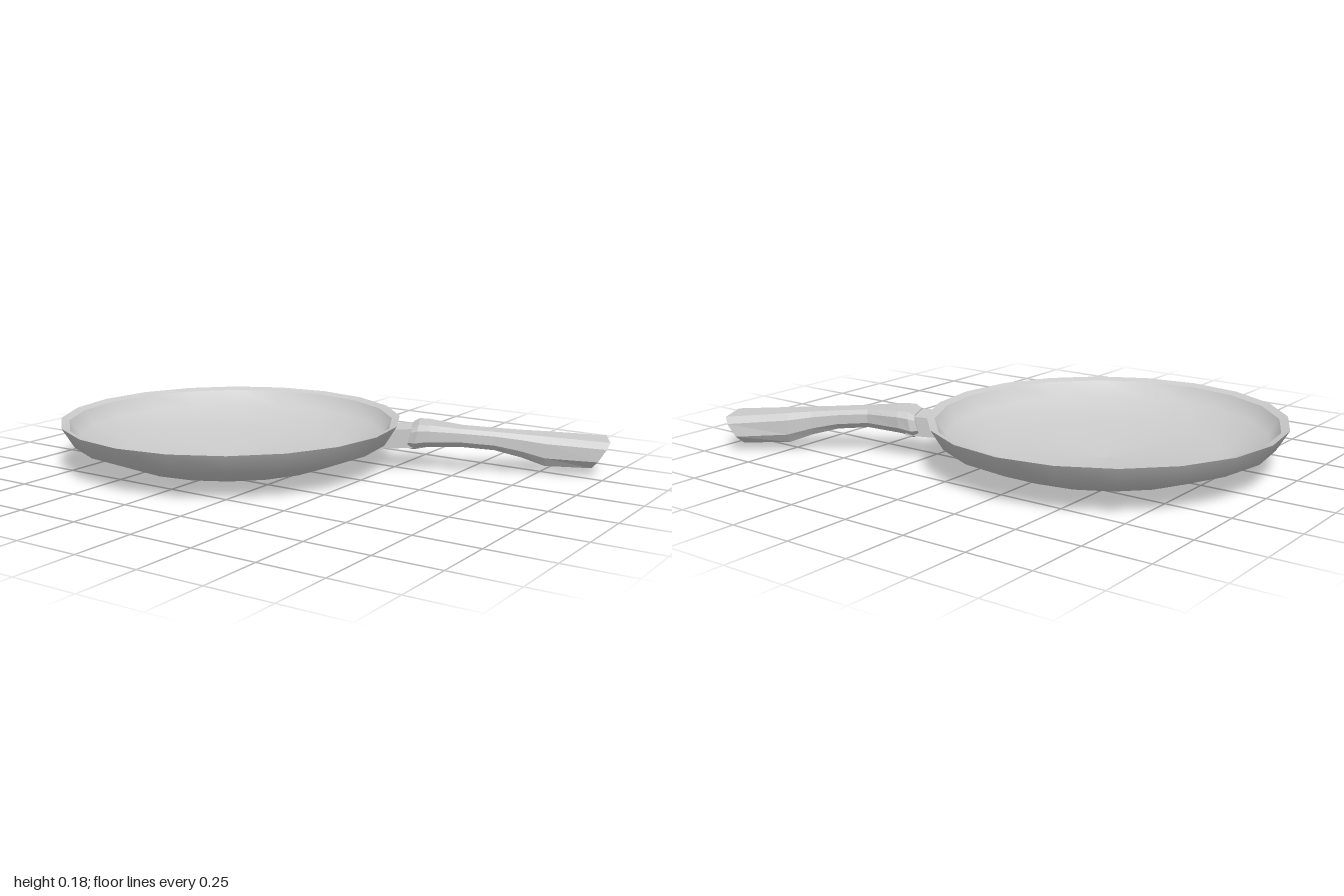
import * as THREE from 'three';

const grey = (flat) => new THREE.MeshStandardMaterial({ color: 0xcccccc, flatShading: flat, side: THREE.DoubleSide });

// Chamfered eight-sided section; slant pushes the top further along the handle than the bottom
function section(u, v0, v1, y0, y1, slant = 0) {
  const outline = [[0.13, 1], [0.87, 1], [1, 0.78], [1, 0.3], [0.83, 0], [0.17, 0], [0, 0.3], [0, 0.78]];
  return outline.map(([a, b]) => [u + slant * b, y0 + (y1 - y0) * b, v0 + (v1 - v0) * a]);
}

// Plain four-sided section
function boxSection(u, half, y0, y1) {
  return [[u, y1, -half], [u, y1, half], [u, y0, half], [u, y0, -half]];
}

// Skin a row of sections and cap both ends
function loft(rings) {
  const pos = [];
  const tri = (a, b, c) => pos.push(...a, ...b, ...c);
  const n = rings[0].length;
  for (let i = 0; i < rings.length - 1; i++) {
    const p = rings[i], q = rings[i + 1];
    for (let j = 0; j < n; j++) {
      const k = (j + 1) % n;
      tri(p[j], p[k], q[k]);
      tri(p[j], q[k], q[j]);
    }
  }
  const first = rings[0], last = rings[rings.length - 1];
  for (let j = 1; j < n - 1; j++) {
    tri(first[0], first[j + 1], first[j]);
    tri(last[0], last[j], last[j + 1]);
  }
  const geo = new THREE.BufferGeometry();
  geo.setAttribute('position', new THREE.Float32BufferAttribute(pos, 3));
  geo.computeVertexNormals();
  return geo;
}

export function createModel() {
  const model = new THREE.Group();
  model.name = 'fryingPan';
  model.position.set(-0.333, 0, 0.033);

  const add = (parent, name, geo, flat) => {
    const mesh = new THREE.Mesh(geo, grey(flat));
    mesh.name = name;
    parent.add(mesh);
  };

  // Round pan: separate turned surfaces keep the rim edges sharp
  const turned = {
    panOutside: [[0, 0], [0.437, 0.03], [0.62, 0.103], [0.667, 0.18]],
    panRim: [[0.667, 0.18], [0.636, 0.17]],
    panInside: [[0.636, 0.17], [0.597, 0.112], [0.432, 0.048], [0, 0.02]],
  };
  for (const [name, points] of Object.entries(turned)) {
    add(model, name, new THREE.LatheGeometry(points.map((p) => new THREE.Vector2(...p)), 20), false);
  }

  // Handle assembly, pointing outward at an angle
  const arm = new THREE.Group();
  arm.name = 'handleAssembly';
  arm.rotation.y = THREE.MathUtils.degToRad(27);
  model.add(arm);

  // Bracket lying along the pan wall and reaching into the grip
  add(arm, 'bracket', loft([
    boxSection(0.46, 0.06, 0.034, 0.042),
    boxSection(0.61, 0.065, 0.083, 0.105),
    boxSection(0.648, 0.065, 0.086, 0.16),
    boxSection(0.75, 0.065, 0.09, 0.165),
  ]), true);

  // Shaped grip: bevelled collar, narrow waist, deep slanted butt
  add(arm, 'grip', loft([
    section(0.695, -0.076, 0.076, 0.088, 0.168, 0.02),
    section(0.72, -0.087, 0.09, 0.083, 0.181, 0.02),
    section(0.77, -0.077, 0.094, 0.094, 0.181, 0.01),
    section(0.91, -0.022, 0.086, 0.099, 0.17),
    section(1.03, -0.024, 0.08, 0.089, 0.162),
    section(1.13, -0.032, 0.08, 0.064, 0.155),
    section(1.22, -0.05, 0.084, 0.033, 0.149),
    section(1.395, -0.086, 0.094, 0.03, 0.132, 0.065),
  ]), true);

  return model;
}
